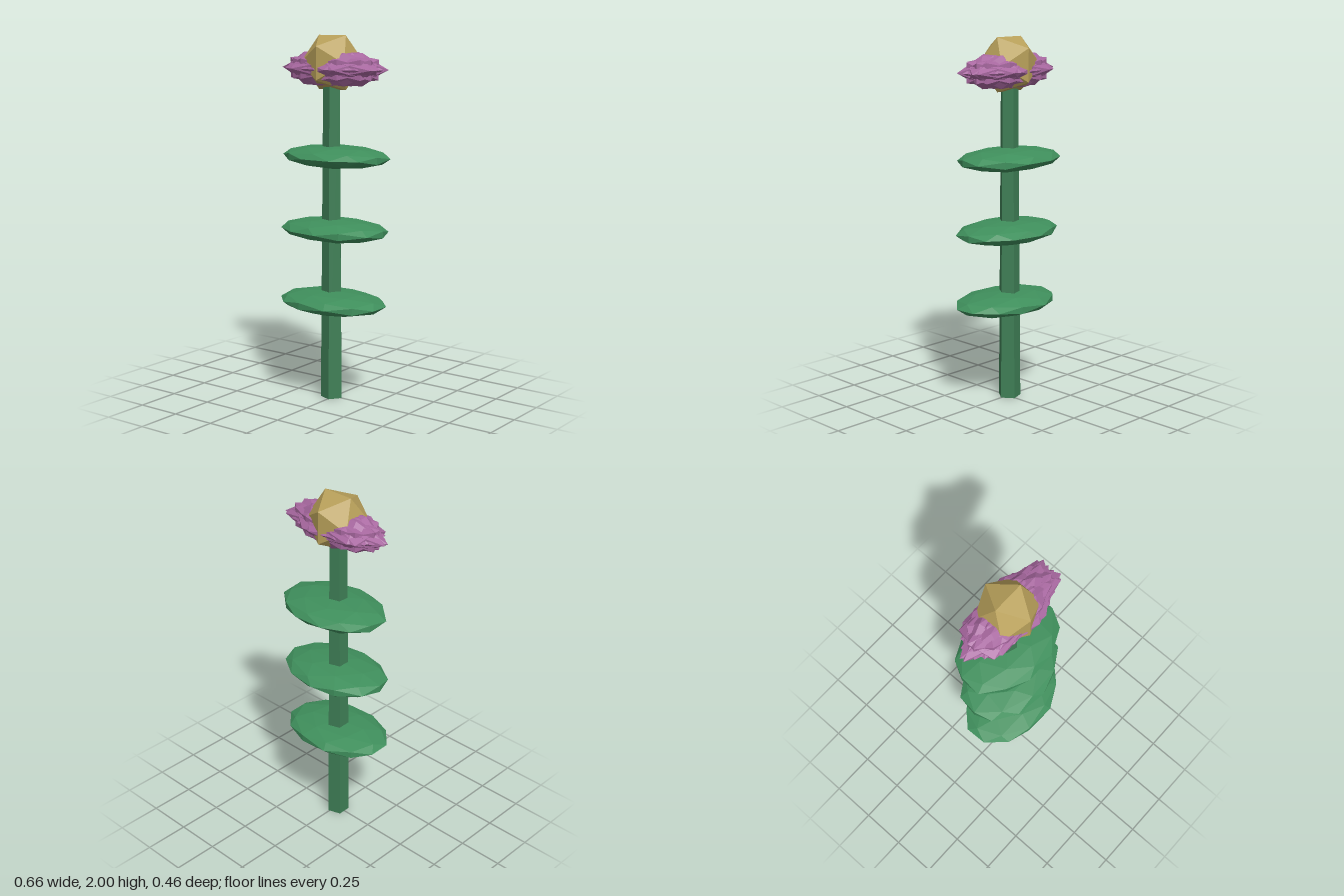
import * as THREE from 'three';

const mat = (color) => new THREE.MeshStandardMaterial({ color, flatShading: true });
const X = -0.012; // stem axis

// Icosahedron turned about y, then stretched into an ellipsoid and placed
function ellipsoid(name, material, detail, turn, scale, position) {
  const geo = new THREE.IcosahedronGeometry(1, detail);
  geo.rotateY(turn);
  geo.scale(...scale);
  geo.computeVertexNormals();
  const mesh = new THREE.Mesh(geo, material);
  mesh.name = name;
  mesh.position.set(...position);
  return mesh;
}

export function createModel() {
  const model = new THREE.Group();
  model.name = 'flower';
  const stemGreen = mat(0x3f7f56);
  const leafGreen = mat(0x3f8f5c);
  const purple = mat(0xa868a0);
  const gold = mat(0xb8a05a);

  // Five-sided tapering stem with a corner towards +x
  const stemGeo = new THREE.CylinderGeometry(0.049, 0.064, 1.8, 5);
  stemGeo.rotateY(Math.PI / 2);
  const stem = new THREE.Mesh(stemGeo, stemGreen);
  stem.name = 'stem';
  stem.position.set(X, 0.9, 0);
  model.add(stem);

  // Three flat leaf pads, each turned a little further
  for (let i = 0; i < 3; i++) {
    model.add(ellipsoid('leafPad', leafGreen, 1, 0.3 + i * 0.8, [0.325, 0.061, 0.225],
      [0.002, 0.55 + i * 0.4, 0.015 - i * 0.015]));
  }

  // Spiky bloom: overlapping petals turned round the centre
  const bloom = new THREE.Group();
  bloom.name = 'bloom';
  const petals = 7;
  for (let i = 0; i < petals; i++) {
    const a = (i / petals) * Math.PI * 2;
    bloom.add(ellipsoid('petal', purple, 0, a, [0.328, 0.103, 0.15],
      [0.016 * Math.cos(a) - 0.004, 1.8225, -0.008 * Math.sin(a)]));
  }
  model.add(bloom);

  // Faceted flower centre
  model.add(ellipsoid('flowerCentre', gold, 0, 0, [0.17, 0.17, 0.17], [X, 1.8554, 0]));
  return model;
}
